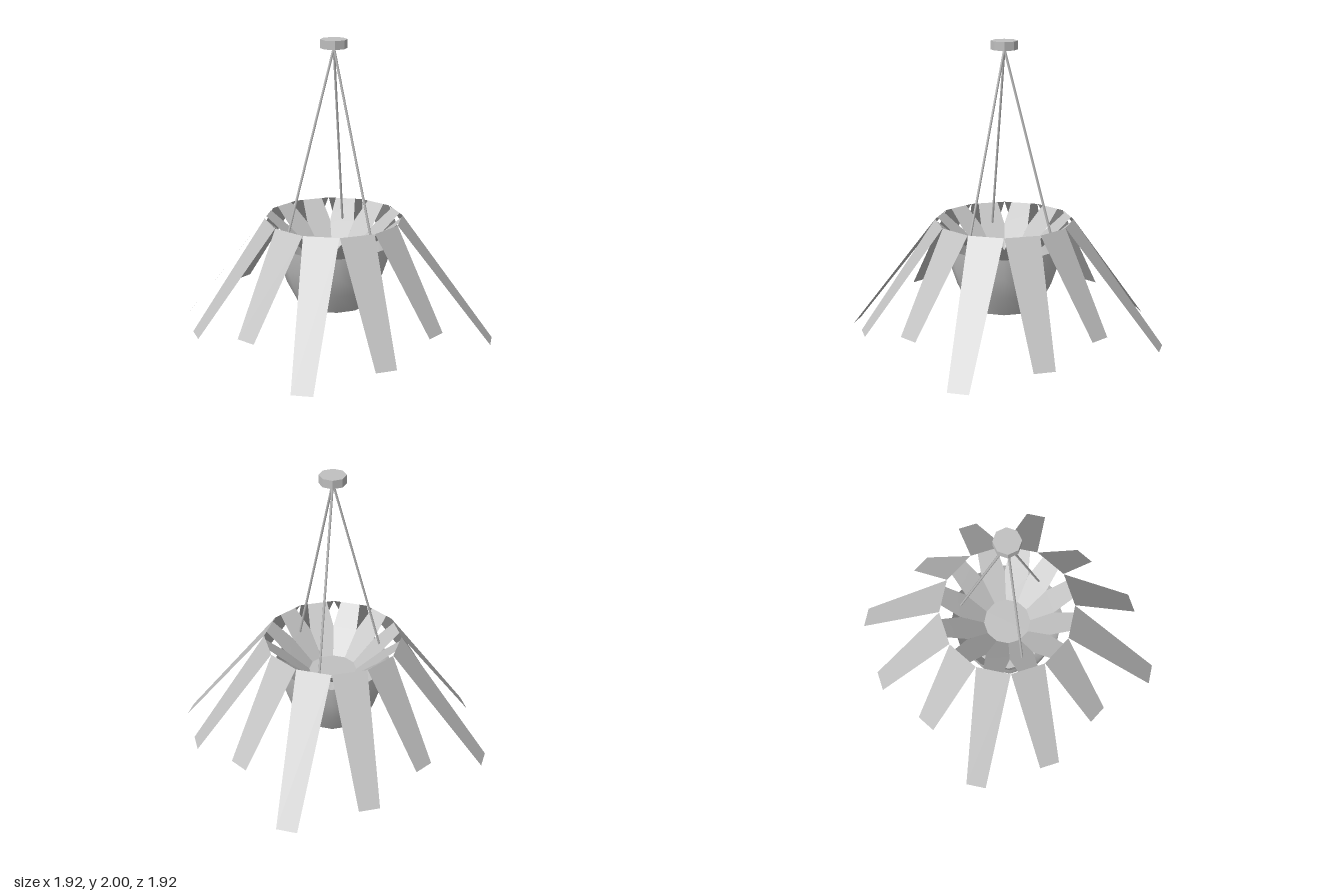
import * as THREE from 'three';

const COUNT = 12;
const STEP = (Math.PI * 2) / COUNT;

const shade = new THREE.MeshStandardMaterial({ color: 0xc0c0c0, side: THREE.DoubleSide });
shade.name = 'lightGrey';

// Strip running outward along +x through sections [radius, height, halfWidth]
function strip(name, sections) {
  const positions = sections.flatMap(([r, y, w]) => [r, y, -w, r, y, w]);
  const index = [];
  for (let i = 0; i < sections.length - 1; i++) {
    const a = i * 2;
    index.push(a, a + 1, a + 3, a, a + 3, a + 2);
  }
  const geometry = new THREE.BufferGeometry();
  geometry.setAttribute('position', new THREE.Float32BufferAttribute(positions, 3));
  geometry.setIndex(index);
  geometry.computeVertexNormals();
  const mesh = new THREE.Mesh(geometry, shade);
  mesh.name = name;
  return mesh;
}

// Flat twelve-sided disc facing up or down
function disc(name, apothem, y, up) {
  const geometry = new THREE.CircleGeometry(apothem / Math.cos(STEP / 2), COUNT, STEP / 2);
  geometry.rotateX(up ? -Math.PI / 2 : Math.PI / 2);
  const mesh = new THREE.Mesh(geometry, shade);
  mesh.name = name;
  mesh.position.y = y;
  return mesh;
}

export function createModel() {
  const lamp = new THREE.Group();
  lamp.name = 'pendantLamp';

  // Hanging petals in three lengths, and the bowl strips that meet them at the rim
  const tips = [[0.857, 0.185], [0.963, 0.095], [1.068, 0]];
  for (let i = 0; i < COUNT; i++) {
    const [r, y] = tips[i % 3];
    const petal = strip('outerPetal', [[0.445, 0.81, 0.118], [r, y, 0.07]]);
    const inner = strip('bowlPetal', [[0.155, 0.55, 0.0415], [0.31, 0.69, 0.083], [0.445, 0.81, 0.068]]);
    petal.rotation.y = inner.rotation.y = -i * STEP;
    lamp.add(petal, inner);
  }
  lamp.add(disc('bowlFloor', 0.155, 0.55, true));

  // Open-topped barrel body
  const profile = [[0.235, 0.22], [0.305, 0.36], [0.352, 0.5], [0.37, 0.64]]
    .map(([r, y]) => new THREE.Vector2(r / Math.cos(STEP / 2), y));
  const body = new THREE.Mesh(new THREE.LatheGeometry(profile, COUNT, STEP / 2), shade);
  body.name = 'body';
  lamp.add(body, disc('bodyBase', 0.235, 0.22, false));

  // Three suspension rods
  const apex = new THREE.Vector3(0, 1.945, 0);
  for (let i = 0; i < 3; i++) {
    const a = (i * Math.PI * 2) / 3;
    const foot = new THREE.Vector3(0.325 * Math.cos(a), 0.7, 0.325 * Math.sin(a));
    const dir = apex.clone().sub(foot);
    const rod = new THREE.Mesh(new THREE.CylinderGeometry(0.008, 0.008, dir.length(), 6), shade);
    rod.name = 'suspensionRod';
    rod.position.copy(foot).add(apex).multiplyScalar(0.5);
    rod.quaternion.setFromUnitVectors(new THREE.Vector3(0, 1, 0), dir.normalize());
    lamp.add(rod);
  }

  // Octagonal ceiling mount
  const mountGeometry = new THREE.CylinderGeometry(0.088, 0.088, 0.057, 8).toNonIndexed();
  mountGeometry.computeVertexNormals();
  const mount = new THREE.Mesh(mountGeometry, shade);
  mount.name = 'ceilingMount';
  mount.position.y = 1.9715;
  lamp.add(mount);

  return lamp;
}
